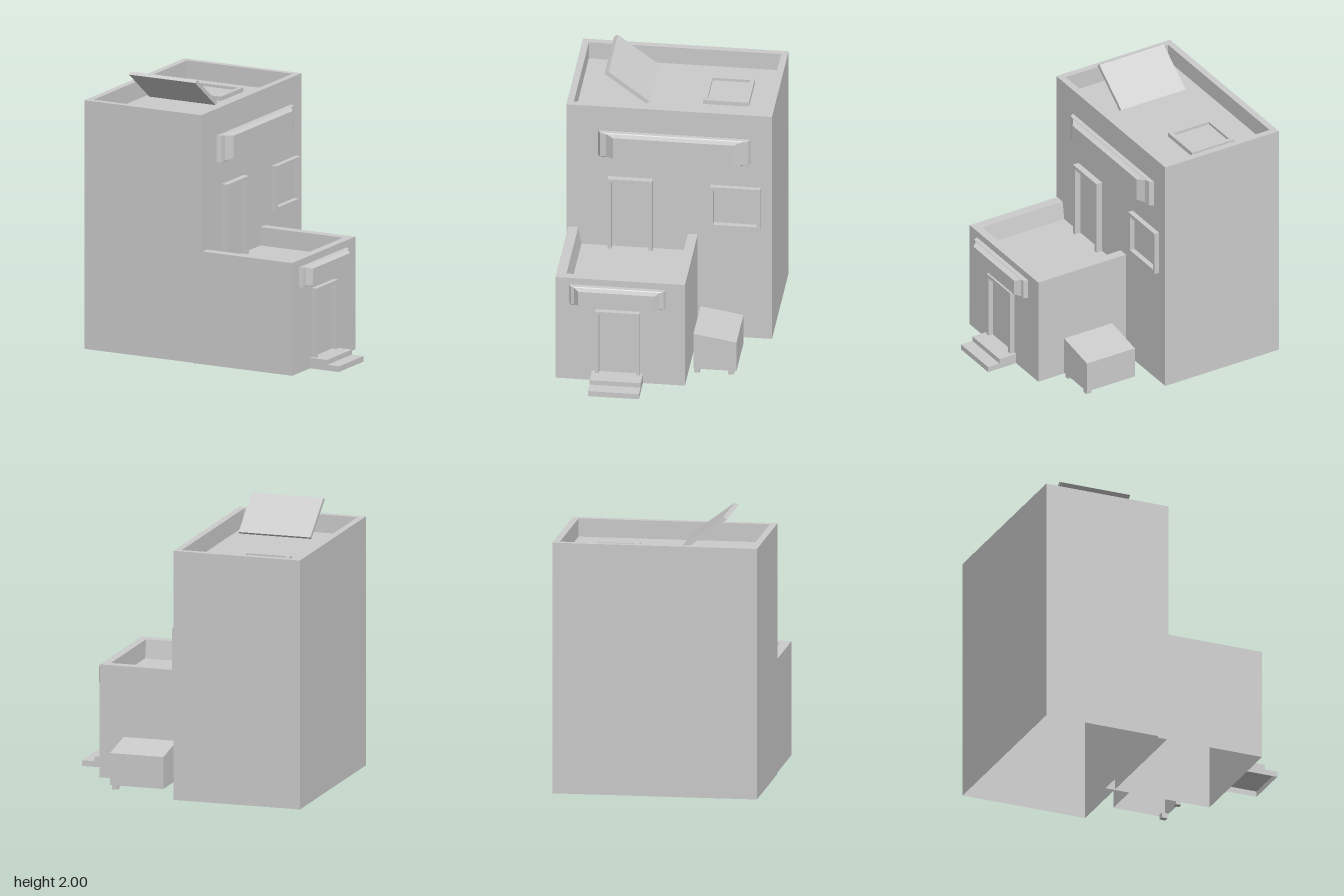
import * as THREE from 'three';

const material = new THREE.MeshStandardMaterial({ color: 0xcccccc, flatShading: true });
const thin = new THREE.MeshStandardMaterial({ color: 0xcccccc, flatShading: true, side: THREE.DoubleSide });

export function createModel() {
  const model = new THREE.Group();
  model.name = 'house';

  const add = (name, geometry, mat = material) => {
    const mesh = new THREE.Mesh(geometry, mat);
    mesh.name = name;
    model.add(mesh);
  };

  // Box given by its extents along each axis
  const block = (x0, x1, y0, y1, z0, z1) =>
    new THREE.BoxGeometry(x1 - x0, y1 - y0, z1 - z0)
      .translate((x0 + x1) / 2, (y0 + y1) / 2, (z0 + z1) / 2);

  // The same box without its underside
  const hollowBlock = (...extents) => {
    const geometry = block(...extents);
    const faces = Array.from(geometry.index.array);
    faces.splice(18, 6);
    geometry.setIndex(faces);
    geometry.clearGroups();
    return geometry;
  };

  const polygon = (points) => new THREE.Shape(points.map(([a, b]) => new THREE.Vector2(a, b)));
  const rect = (a0, a1, b0, b1) => [[a0, b0], [a1, b0], [a1, b1], [a0, b1]];

  // Outline in (z, y), extruded from x0 to x1
  const alongX = (shape, x0, x1) =>
    new THREE.ExtrudeGeometry(shape, { depth: x1 - x0, bevelEnabled: false })
      .rotateY(-Math.PI / 2).translate(x1, 0, 0);

  // Rectangular rim lying flat, with walls of the given width
  const rim = (x0, x1, z0, z1, width, y0, y1) => {
    const shape = polygon(rect(x0, x1, -z1, -z0));
    shape.holes.push(polygon(rect(x0 + width, x1 - width, -z1 + width, -z0 - width)));
    return new THREE.ExtrudeGeometry(shape, { depth: y1 - y0, bevelEnabled: false })
      .rotateX(-Math.PI / 2).translate(0, y0, 0);
  };

  // Door surround: two posts and a lintel
  const doorFrame = (x0, x1, y0, y1) => {
    const z0 = 0.115, z1 = 0.435, w = 0.027;
    return alongX(polygon([
      [z0, y0], [z0 + w, y0], [z0 + w, y1 - w], [z1 - w, y1 - w],
      [z1 - w, y0], [z1, y0], [z1, y1], [z0, y1],
    ]), x0, x1);
  };

  // Bay window: rectangles shrinking outwards from the wall, then a cap
  const bayWindow = (x, y0, y1, z0, z1) => {
    const length = z1 - z0;
    const sections = [[0, 0, 0], [0.031, 0.015, 0], [0.036, 0.055, 0.006], [0.075, 0.105, 0.016]];
    const positions = [], index = [];
    sections.forEach(([out, inset, dy], s) => {
      const a = z0 + inset * length, b = z1 - inset * length;
      for (const [z, y] of [[b, y0 + dy], [a, y0 + dy], [a, y1 - dy], [b, y1 - dy]]) {
        positions.push(x + out, y, z);
      }
      if (s === 0) return;
      for (let i = 0; i < 4; i++) {
        const j = (i + 1) % 4, p = (s - 1) * 4, q = s * 4;
        index.push(p + i, p + j, q + j, p + i, q + j, q + i);
      }
    });
    const e = (sections.length - 1) * 4;
    index.push(e, e + 1, e + 2, e, e + 2, e + 3);
    const indexed = new THREE.BufferGeometry();
    indexed.setAttribute('position', new THREE.Float32BufferAttribute(positions, 3));
    indexed.setIndex(index);
    const geometry = indexed.toNonIndexed();
    geometry.computeVertexNormals();
    return geometry;
  };

  // Tall tower, open underneath, with a parapet around its flat roof
  add('tower', hollowBlock(-0.957, -0.008, 0.007, 1.69, -0.737, 0.735), thin);
  add('towerParapet', rim(-0.957, -0.008, -0.737, 0.735, 0.048, 1.69, 1.822));

  // Roof hatch and tilted roof panel
  add('roofHatch', rim(-0.717, -0.363, -0.527, -0.197, 0.03, 1.69, 1.722));
  add('hatchLid', block(-0.687, -0.393, 1.69, 1.702, -0.497, -0.227));
  add('roofPanel', alongX(
    polygon([[0.457, 2.0], [0.159, 1.777], [0.187, 1.76], [0.485, 1.983]]), -0.732, -0.195));

  // Low annex, open underneath, with a walled terrace on top
  add('annex', hollowBlock(-0.083, 0.723, 0.001, 0.69, -0.205, 0.722), thin);
  add('terraceBackWall', block(-0.008, 0.723, 0.69, 0.824, -0.205, -0.135));
  add('terraceFrontWall', block(-0.008, 0.723, 0.69, 0.824, 0.65, 0.722));
  add('terraceSideWall', block(0.663, 0.723, 0.69, 0.824, -0.135, 0.65));
  add('terraceSlope', alongX(polygon([[0.627, 0.69], [0.65, 0.69], [0.65, 0.824]]), -0.008, 0.663));

  // Doors
  add('terraceDoorFrame', doorFrame(-0.008, 0.039, 0.69, 1.257));
  add('entranceDoorFrame', doorFrame(0.723, 0.76, 0.08, 0.582));

  // Square window surround
  const windowShape = polygon(rect(-0.655, -0.297, 0.905, 1.238));
  windowShape.holes.push(polygon(rect(-0.632, -0.32, 0.933, 1.208)));
  add('squareWindowFrame', alongX(windowShape, -0.008, 0.03));

  // Long bay windows
  add('towerBayWindow', bayWindow(-0.008, 1.428, 1.626, -0.585, 0.508));
  add('annexBayWindow', bayWindow(0.723, 0.627, 0.773, -0.067, 0.622));

  // Entrance steps
  add('lowerStep', hollowBlock(0.723, 0.957, 0.001, 0.042, 0.095, 0.46), thin);
  add('upperStep', hollowBlock(0.723, 0.862, 0.042, 0.078, 0.095, 0.46), thin);

  // Bin: sloping lid, open underneath, on two feet
  const bin = hollowBlock(0.13, 0.53, 0.035, 0.318, -0.55, -0.242);
  const p = bin.attributes.position;
  for (let i = 0; i < p.count; i++) {
    if (p.getY(i) > 0.2 && p.getZ(i) < -0.4) p.setY(i, 0.268);
  }
  bin.computeVertexNormals();
  add('bin', bin, thin);
  for (const z of [-0.265, -0.51]) {
    add('binFoot', block(0.48, 0.522, 0, 0.04, z - 0.02, z + 0.02));
  }

  return model;
}
